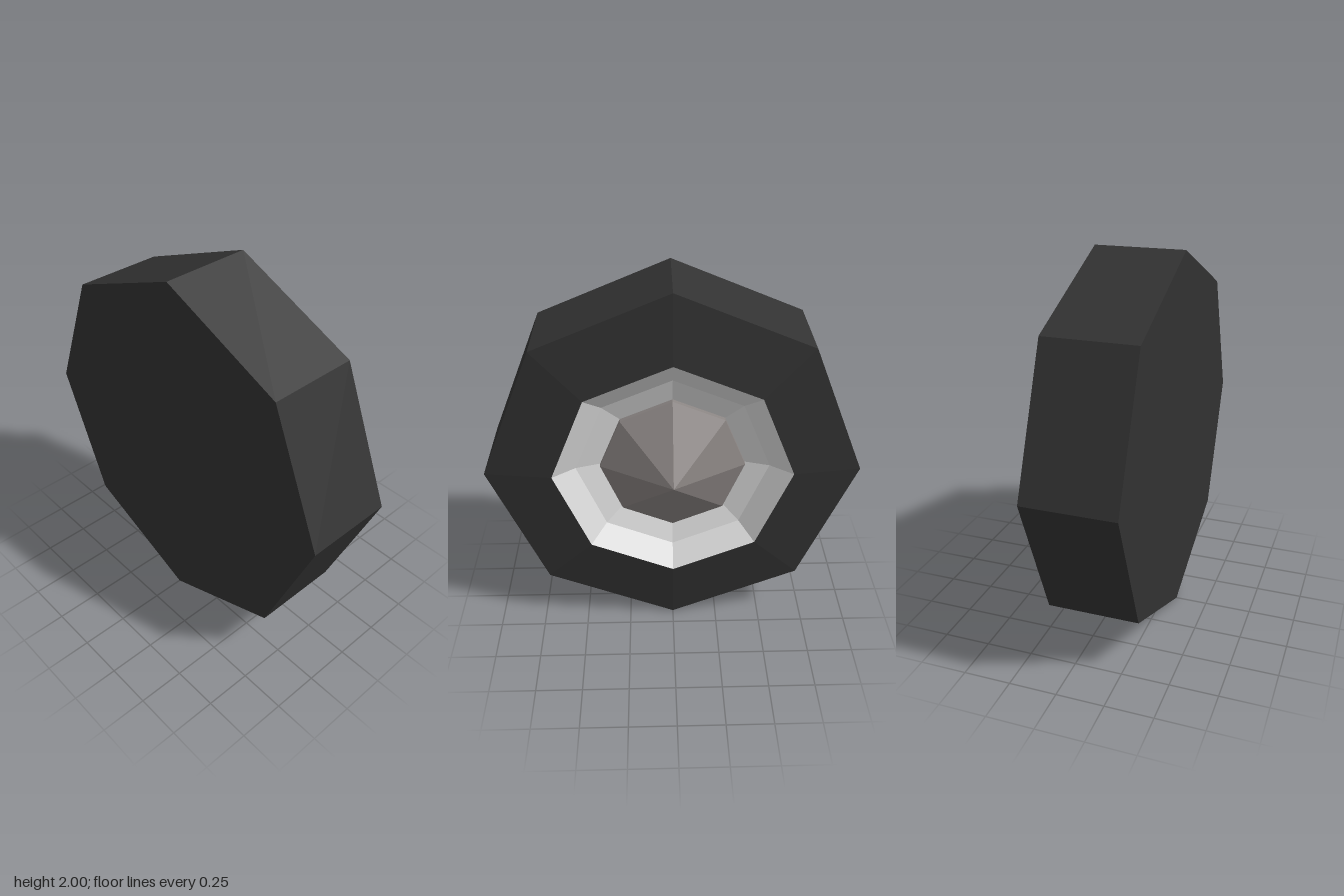
import * as THREE from 'three';

const SIDES = 8;

function material(name, color) {
  // flat facets for the low-poly look
  const m = new THREE.MeshStandardMaterial({ color, flatShading: true });
  m.name = name;
  return m;
}

// Revolves [radius, x] pairs around the wheel axis, which lies along x
function ring(name, profile, mat) {
  const points = profile.map(([r, x]) => new THREE.Vector2(r, x));
  const geometry = new THREE.LatheGeometry(points, SIDES);
  geometry.rotateZ(-Math.PI / 2);
  const mesh = new THREE.Mesh(geometry, mat);
  mesh.name = name;
  mesh.position.y = 1;
  return mesh;
}

export function createModel() {
  const rubber = material('dark rubber', 0x323232);
  const metal = material('light rim', 0xe0e0e0);
  const cap = material('warm grey hub', 0x8a8482);

  const wheel = new THREE.Group();
  wheel.name = 'wheel';
  wheel.add(
    // Closed flat back, straight tread, slightly sloped outer sidewall
    ring('tire', [[0, -0.325], [1, -0.325], [1, 0.155], [0.64, 0.2]], rubber),
    // Dished rim stepping inwards
    ring('rim', [[0.64, 0.2], [0.52, 0.11], [0.39, 0.07]], metal),
    // Pointed hub cap with a short edge
    ring('hubCap', [[0.39, 0.07], [0.39, 0.097], [0, 0.325]], cap),
  );
  return wheel;
}
